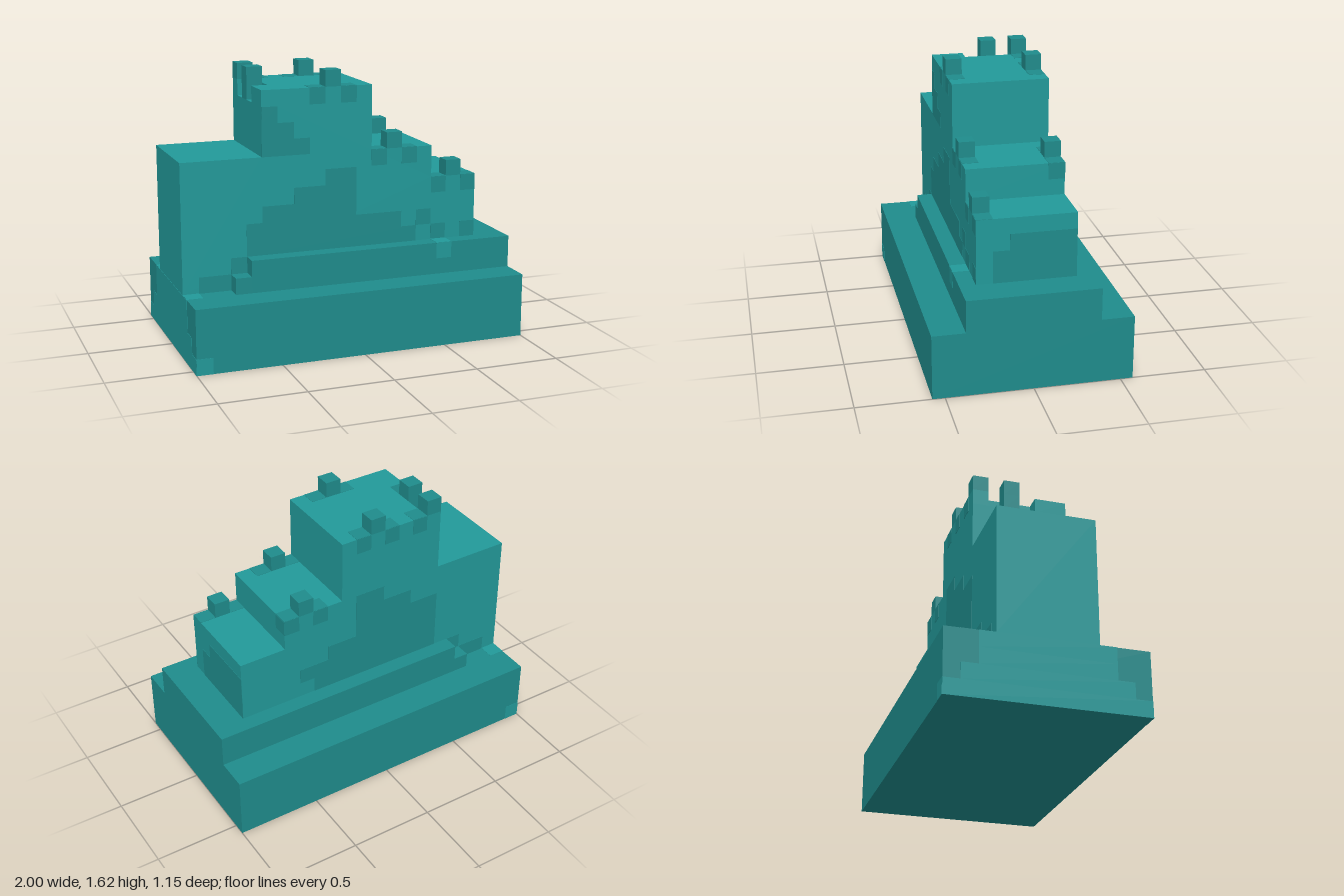
import * as THREE from 'three';

const U = 2 / 21; // one block
const LIGHT = new THREE.MeshStandardMaterial({ color: 0x229999, flatShading: true });
const DARK = new THREE.MeshStandardMaterial({ color: 0x1f8b8b, flatShading: true });
const E = 0.02; // thickness of the coloured inlays, in blocks

export function createModel() {
  const model = new THREE.Group();
  model.name = 'steppedCastle';

  // Block coordinates: x 0..21, y 0..17, z 0..12 (front = 12)
  function box(name, mat, [x0, x1], [y0, y1], [z0, z1], parent = model) {
    const geo = new THREE.BoxGeometry((x1 - x0) * U, (y1 - y0) * U, (z1 - z0) * U);
    const mesh = new THREE.Mesh(geo, mat);
    mesh.position.set(((x0 + x1) / 2 - 10.5) * U, ((y0 + y1) / 2) * U, ((z0 + z1) / 2 - 6) * U);
    mesh.name = name;
    parent.add(mesh);
  }

  // Broad base and the ledge with its small end steps
  box('base', DARK, [0, 21], [0, 4], [0, 12]);
  box('ledge', DARK, [4, 21], [4, 6], [2, 10]);
  box('ledgeEndStep', DARK, [3, 4], [4, 5], [2, 10]);

  // Stepped wall body
  const profile = [[0, 4], [19, 4], [19, 10], [16, 10], [16, 12], [12, 12], [12, 16],
    [6, 16], [6, 15], [5, 15], [5, 12], [0, 12]];
  const shape = new THREE.Shape(profile.map(([x, y]) => new THREE.Vector2((x - 10.5) * U, y * U)));
  const body = new THREE.Mesh(new THREE.ExtrudeGeometry(shape, { depth: 6 * U, bevelEnabled: false }), LIGHT);
  body.position.z = -3 * U;
  body.name = 'wallBody';
  model.add(body);

  // Notched parapet along the tower's end
  box('parapetBlock', LIGHT, [5, 6], [15, 16], [3, 4]);
  box('parapetBlock', DARK, [5, 6], [15, 16], [5, 6]);
  box('parapetBlock', LIGHT, [5, 6], [15, 16], [7, 9]);

  // Battlement blocks [x, y, z]
  for (const [x, y, z] of [[5, 16, 3], [5, 16, 5], [9, 16, 3], [9, 16, 8], [13, 12, 8], [14, 12, 3], [17, 10, 8]]) {
    box('battlement', DARK, [x, x + 1], [y, y + 1], [z, z + 1]);
  }

  // Flush coloured inlays
  const inlays = new THREE.Group();
  inlays.name = 'stoneInlays';
  model.add(inlays);
  const onFront = (z, y, x0, x1, mat = DARK) => box('frontInlay', mat, [x0, x1], [y, y + 1], [z - E, z + E], inlays);
  const onBack = (z, y, x0, x1, mat = DARK) => box('backInlay', mat, [x0, x1], [y, y + 1], [z - E, z + E], inlays);
  const onEnd = (x, y, z0, z1, mat = DARK) => box('endInlay', mat, [x - E, x + E], [y, y + 1], [z0, z1], inlays);
  const onTop = (y, x, z, mat = DARK) => box('topInlay', mat, [x, x + 1], [y - E, y + E], [z, z + 1], inlays);

  // Front wall: [row, from, to]
  for (const row of [[15, 8, 9], [15, 10, 11], [14, 5, 6], [13, 5, 7], [12, 5, 8], [11, 12, 13], [11, 14, 15],
    [9, 16, 17], [9, 18, 19], [10, 9, 11], [9, 7, 11], [8, 5, 11], [7, 4, 14], [7, 15, 16],
    [6, 4, 15], [6, 16, 17], [6, 18, 19], [5, 3, 4], [4, 1, 3]]) onFront(9, ...row);

  // Back wall
  for (const row of [[15, 6, 7], [15, 8, 9], [15, 10, 11], [11, 13, 14], [11, 15, 16], [11, 9, 11], [10, 7, 11],
    [9, 5, 11], [8, 5, 13], [7, 5, 15], [6, 5, 14], [5, 3, 4], [4, 1, 3]]) onBack(3, ...row);

  // Right end of the wall
  onEnd(16, 11, 3, 4);
  onEnd(19, 8, 3, 7);
  onEnd(19, 7, 3, 8);
  onEnd(19, 6, 3, 8);

  // Left end of the base, light between dark corners
  onEnd(0, 0, 0, 12, LIGHT);
  onEnd(0, 1, 1, 11, LIGHT);
  onEnd(0, 2, 2, 10, LIGHT);
  onEnd(0, 3, 2, 10, LIGHT);
  onFront(12, 0, 0, 1, LIGHT);
  onBack(0, 0, 0, 1, LIGHT);
  onTop(4, 0, 2, LIGHT);
  onTop(4, 0, 9, LIGHT);

  // Single light block in the ledge
  onFront(10, 5, 16, 17, LIGHT);
  onTop(6, 16, 9, LIGHT);

  // Dark blocks beside the battlements
  for (const [y, x, z] of [[16, 6, 3], [16, 8, 3], [16, 10, 3], [16, 8, 8], [16, 10, 8],
    [12, 13, 3], [12, 15, 3], [12, 12, 8], [12, 14, 8], [10, 16, 8], [10, 18, 8]]) onTop(y, x, z);

  return model;
}
